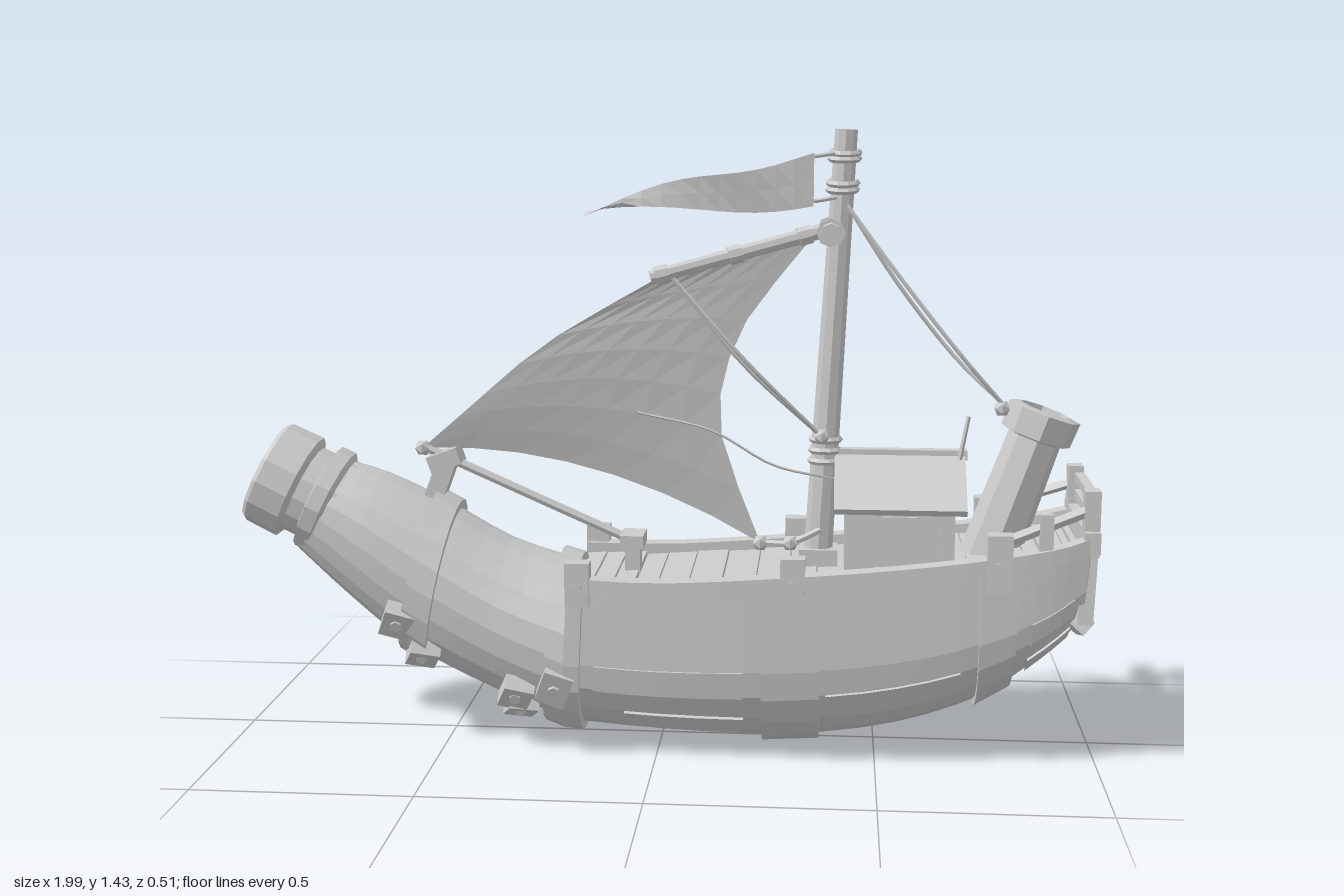
import * as THREE from 'three';

const V = (x, y, z = 0) => new THREE.Vector3(x, y, z);
const mat = new THREE.MeshStandardMaterial({ color: 0xcccccc, flatShading: true, side: THREE.DoubleSide });

// Stations: top x, top y, bottom x, bottom y, half width
const BARREL = [
  [-0.78, 0.65, -0.87, 0.43, 0.112], [-0.66, 0.615, -0.75, 0.32, 0.135], [-0.52, 0.55, -0.6, 0.2, 0.155],
  [-0.36, 0.46, -0.4, 0.1, 0.178], [-0.19, 0.405, -0.22, 0.03, 0.203]];
const HULL = [
  [-0.2, 0.4, -0.22, 0.03, 0.205], [0, 0.397, 0, 0.014, 0.218], [0.3, 0.417, 0.3, 0.01, 0.225],
  [0.55, 0.44, 0.55, 0.045, 0.223], [0.75, 0.465, 0.75, 0.12, 0.217], [0.9, 0.49, 0.87, 0.215, 0.203],
  [0.97, 0.51, 0.955, 0.3, 0.187]];

// Smooth interpolation through the stations
function makeBody(st, square) {
  const top = new THREE.CatmullRomCurve3(st.map(s => V(s[0], s[1], s[4])));
  const bot = new THREE.CatmullRomCurve3(st.map(s => V(s[2], s[3])));
  return { top: t => top.getPoint(t), bot: t => bot.getPoint(t), square };
}
const barrel = makeBody(BARREL, false), hull = makeBody(HULL, true);

// Point on the skin: a = 0 at the top, PI at the keel, 2 PI at the top again
function skin(body, t, a, off = 0) {
  const p = body.top(t), q = body.bot(t), w = p.z;
  p.z = 0;
  const mid = p.clone().add(q).multiplyScalar(0.5), half = p.clone().sub(q).multiplyScalar(0.5);
  half.setLength(half.length() + off);
  const c = Math.cos(a), side = a < Math.PI ? 1 : -1;
  let s = Math.sin(a);
  // straight sides above, boxier bilge towards the stern
  if (body.square) s = c > 0 ? side : side * Math.pow(Math.abs(s), 1 - 0.45 * Math.max(0, (t - 0.6) / 0.4));
  const out = mid.addScaledVector(half, c);
  out.z = s * (w + off);
  return out;
}
function section(body, t, off = 0, n = 20) {
  return Array.from({ length: n + 1 }, (_, i) => skin(body, t, Math.min(Math.max(i / n * Math.PI * 2, 1e-5), Math.PI * 2 - 1e-5), off));
}

// Surface through rows of points
function loft(rows) {
  const n = rows[0].length, idx = [];
  for (let i = 0; i < rows.length - 1; i++) for (let j = 0; j < n - 1; j++) {
    const a = i * n + j, b = a + n;
    idx.push(a, b, a + 1, b, b + 1, a + 1);
  }
  const g = new THREE.BufferGeometry().setFromPoints(rows.flat());
  g.setIndex(idx);
  g.computeVertexNormals();
  return g;
}
const steps = (n, f) => Array.from({ length: n + 1 }, (_, i) => f(i / n));

export function createModel() {
  const root = new THREE.Group();
  const add = (name, geo) => {
    const m = new THREE.Mesh(geo, mat);
    m.name = name;
    root.add(m);
    return m;
  };
  const box = (name, w, h, d, x, y, z, rz = 0) => {
    const m = add(name, new THREE.BoxGeometry(w, h, d));
    m.position.set(x, y, z);
    m.rotation.z = rz;
    return m;
  };
  const rod = (name, a, b, r0, r1 = r0, sides = 8) => {
    const d = b.clone().sub(a);
    const m = add(name, new THREE.CylinderGeometry(r1, r0, d.length(), sides));
    m.position.copy(a).addScaledVector(d, 0.5);
    m.quaternion.setFromUnitVectors(V(0, 1, 0), d.normalize());
    return m;
  };
  const rope = (name, pts, r = 0.005) =>
    add(name, new THREE.TubeGeometry(new THREE.CatmullRomCurve3(pts), 14, r, 5));
  const turned = (name, profile, at, dir, sides) => {
    const m = add(name, new THREE.LatheGeometry(profile.map(p => new THREE.Vector2(p[0], p[1])), sides));
    m.position.copy(at);
    m.quaternion.setFromUnitVectors(V(0, 1, 0), dir.normalize());
    return m;
  };
  const band = (name, body, t0, t1, off) => add(name, loft([
    section(body, t0, -0.005), section(body, t0, off), section(body, t1, off), section(body, t1, -0.005)]));

  // Hull, tapering bow and flat transom
  add('bow', loft(steps(12, t => section(barrel, t))));
  add('bowBulkhead', loft([section(barrel, 1), section(barrel, 1).map(() => V(-0.2, 0.21))]));
  add('hull', loft(steps(18, t => section(hull, t))));
  const end = section(hull, 1);
  add('transom', loft([end, end.map(p => V(p.x + 0.008, p.y, p.z * 0.8)), end.map(p => V(p.x + 0.008, p.y, 0))]));

  // Open muzzle with two collars
  turned('muzzle', [[0, 0.2], [0.085, 0.2], [0.097, 0], [0.12, 0], [0.127, 0.01], [0.129, 0.09], [0.108, 0.1],
    [0.108, 0.135], [0.13, 0.14], [0.13, 0.175], [0.114, 0.185], [0.116, 0.26]], V(-0.95, 0.615), V(0.9, -0.43, 0), 14);

  // Bands with clamps on both sides
  band('bowBand', barrel, 0.47, 0.56, 0.022);
  band('frontBand', barrel, 0.93, 1, 0.022);
  band('frontHullBand', hull, 0, 0.03, 0.02);
  band('middleBand', hull, 0.3, 0.38, 0.014);
  band('rearBand', hull, 0.645, 0.735, 0.016);
  for (const s of [1, -1]) {
    for (const [t, a] of [[0.46, 2.15], [0.55, 2.5], [0.84, 2.3], [0.85, 2.65], [0.97, 1.9]]) {
      const p = skin(barrel, t, s * a + (s < 0 ? Math.PI * 2 : 0), 0.012);
      const m = box('clamp', 0.07, 0.08, 0.04, p.x, p.y, p.z, -0.35);
      m.rotation.x = s * (a - Math.PI / 2);
      rod('clampBolt', p, V(p.x, p.y - 0.01, p.z + s * 0.026), 0.014, 0.014, 6);
    }
    for (const [t, h] of [[0.02, 0.1], [0.34, 0.11], [0.685, 0.13]]) {
      const p = hull.top(t);
      box('railPost', 0.055, h, 0.045, p.x, p.y + 0.005, s * (p.z + 0.001));
      rod('postBolt', V(p.x, p.y, s * p.z), V(p.x, p.y, s * (p.z + 0.028)), 0.012, 0.012, 6);
    }
    // Gunwale
    add('gunwale', loft(steps(16, t => {
      const p = hull.top(t);
      return [[-0.035, -0.025], [0.012, -0.02], [0.012, 0.016], [-0.035, 0.016], [-0.035, -0.025]]
        .map(c => V(p.x, p.y + c[1], s * (p.z + c[0])));
    })));
    // Raised hull planks, each one strake wide: first frame, last frame, strake
    for (const [f0, f1, k] of [[1, 5, 5], [2, 5, 7], [7, 11, 4], [7, 11, 6], [14, 17, 5], [14, 17, 7]]) {
      const a0 = k * Math.PI / 10, a1 = a0 + Math.PI / 10;
      add('hullPlank', loft(steps(f1 - f0, u => [[a0, 0], [a0, 0.007], [a1, 0.007], [a1, 0]]
        .map(c => skin(hull, (f0 + (f1 - f0) * u) / 18, s > 0 ? c[0] : Math.PI * 2 - c[0], c[1])))));
    }
    // Stern railing sides and transom braces
    box('sternPost', 0.035, 0.15, 0.045, 0.972, 0.555, s * 0.16);
    box('sternSidePost', 0.03, 0.1, 0.025, 0.87, 0.53, s * 0.195);
    rod('sternSideRail', V(0.76, 0.51, s * 0.21), V(0.98, 0.59, s * 0.165), 0.013, 0.013, 4);
    rod('transomBrace', V(0.97, 0.49, s * 0.135), V(0.958, 0.325, s * 0.175), 0.026, 0.026, 4);
    rod('transomFoot', V(0.958, 0.33, s * 0.18), V(0.954, 0.3, s * 0.085), 0.028, 0.02, 4);
  }

  // Stern railing
  box('sternRim', 0.035, 0.05, 0.4, 0.972, 0.515, 0);
  for (const y of [0.565, 0.605]) box('sternRail', 0.022, 0.02, 0.34, 0.98, y, 0);

  // Deck boards laid across
  for (let i = 0; i < 24; i++) {
    const a = hull.top(i / 24), b = hull.top((i + 1) / 24);
    box('deckBoard', b.x - a.x - 0.003, 0.024, a.z + b.z - 0.01, (a.x + b.x) / 2, (a.y + b.y) / 2 - 0.02 + (i % 3) * 0.002, 0, 0.06);
  }

  // Cabin with pitched roof
  const gable = new THREE.Shape([[-0.105, 0.4], [0.105, 0.4], [0.105, 0.575], [0, 0.66], [-0.105, 0.575]].map(p => new THREE.Vector2(...p)));
  const cabin = add('cabin', new THREE.ExtrudeGeometry(gable, { depth: 0.25, bevelEnabled: false }));
  cabin.rotation.y = Math.PI / 2;
  cabin.position.x = 0.425;
  for (const s of [1, -1]) {
    const r = box('cabinRoof', 0.3, 0.018, 0.18, 0.55, 0.622, s * 0.068);
    r.rotation.x = s * 0.68;
    for (const x of [0.45, 0.65]) box('cabinPost', 0.022, 0.15, 0.022, x, 0.5, s * 0.108);
    box('cabinWindow', 0.08, 0.06, 0.012, 0.55, 0.52, s * 0.107);
  }
  box('roofRidge', 0.31, 0.022, 0.03, 0.55, 0.678, 0);
  rod('roofStick', V(0.685, 0.66, 0.02), V(0.705, 0.77, 0.02), 0.006, 0.005, 5);

  // Leaning stern funnel
  turned('funnel', [[0.07, -0.06], [0.062, 0.28], [0.083, 0.285], [0.086, 0.345], [0.06, 0.35], [0.052, 0.22], [0, 0.22]],
    V(0.765, 0.455), V(0.33, 0.94, 0), 8);

  // Mast with rope rings
  const mastAt = y => V(0.365 + (y - 0.45) * 0.053, y);
  rod('mast', mastAt(0.4), mastAt(1.42), 0.034, 0.026, 9);
  for (const y of [0.66, 0.685, 0.71, 1.285, 1.3, 1.355, 1.368]) {
    const m = add('mastRing', new THREE.TorusGeometry(0.032, 0.008, 5, 10));
    m.position.copy(mastAt(y));
    m.rotation.x = Math.PI / 2 + (y > 1 ? 0.12 : 0);
  }
  box('mastFoot', 0.09, 0.05, 0.09, 0.365, 0.43, 0);
  rod('crossBar', V(0.385, 1.19, -0.11), V(0.385, 1.19, 0.12), 0.024);
  for (const z of [-0.05, 0.05]) rod('crossBarCollar', V(0.385, 1.19, z - 0.012), V(0.385, 1.19, z + 0.012), 0.033);

  // Gaff and sail
  const gaffRoot = V(0.39, 1.2, 0.035), gaffTip = V(-0.02, 1.09, 0.1);
  rod('gaff', gaffRoot, gaffTip, 0.018, 0.016);
  for (const u of [0.12, 0.5, 0.9]) {
    const p = gaffRoot.clone().lerp(gaffTip, u);
    rod('gaffLashing', p, p.clone().add(V(-0.03, -0.008, 0.005)), 0.022);
  }
  const luff = new THREE.CatmullRomCurve3([V(-0.01, 1.085, 0.095), V(-0.27, 0.93, 0.07), V(-0.46, 0.77, 0.03), V(-0.57, 0.675, 0)]);
  const leech = new THREE.CatmullRomCurve3([V(0.34, 1.175, 0.04), V(0.18, 0.96, 0.055), V(0.135, 0.76, 0.05), V(0.23, 0.465, 0.02)]);
  add('sail', loft(steps(7, v => steps(7, u => {
    const p = luff.getPoint(v).lerp(leech.getPoint(v), u), b = 4 * u * (1 - u);
    p.y += 0.065 * b * v;
    p.z += 0.015 * b * Math.sin(Math.PI * v);
    return p;
  }))));

  // Pennant
  add('pennant', loft(steps(12, u => [0, 0.5, 1].map(v => {
    const top = 1.368 - 0.133 * Math.pow(u, 1.2) - 0.012 * Math.sin(u * 7);
    const low = 1.25 - 0.017 * u - 0.012 * Math.sin(u * 6);
    return V(0.345 - 0.515 * u, top + (low - top) * v, 0.05 + 0.03 * u + 0.03 * Math.sin(u * 9 + v));
  }))));
  for (const y of [1.36, 1.26]) rope('pennantTie', [V(0.345, y, 0.055), V(0.38, y + 0.005, 0.035), V(0.41, y + 0.01, 0)]);

  // Foot spar with its posts
  rod('footSpar', V(-0.56, 0.675), V(-0.06, 0.455), 0.011, 0.011, 6);
  box('sparPostFront', 0.045, 0.12, 0.05, -0.525, 0.605, 0, -0.35);
  box('sparHead', 0.075, 0.04, 0.07, -0.515, 0.65, 0, 0.35);
  box('sparPostRear', 0.035, 0.1, 0.045, -0.07, 0.425, 0);
  box('sparPostCap', 0.055, 0.03, 0.09, -0.07, 0.465, 0);
  for (const p of [V(-0.57, 0.675), V(0.23, 0.465, 0.02), V(0.3, 0.47, 0.04), V(0.78, 0.79, 0.02), V(0.37, 0.72, 0.03)]) {
    const m = add('ropeKnot', new THREE.IcosahedronGeometry(0.02, 0));
    m.position.copy(p);
  }

  // Rigging
  for (const s of [1, -1]) {
    rope('backStay', [V(0.42, 1.25, s * 0.02), V(0.54, 1.08 + s * 0.012, s * 0.04), V(0.68, 0.905 + s * 0.012, s * 0.05), V(0.79, 0.79, s * 0.02)]);
    rope('gaffSheet', [V(0.03, 1.09, 0.095), V(0.19, 0.9 + s * 0.008, 0.085 + s * 0.01), V(0.37, 0.72, 0.03)]);
  }
  rope('looseLine', [V(-0.05, 0.78, 0.09), V(0.12, 0.74, 0.09), V(0.26, 0.66, 0.075), V(0.4, 0.62, 0.02)], 0.003);
  rope('tackLine', [V(0.23, 0.465, 0.02), V(0.3, 0.47, 0.04), V(0.37, 0.5, 0.03)], 0.008);
  return root;
}
